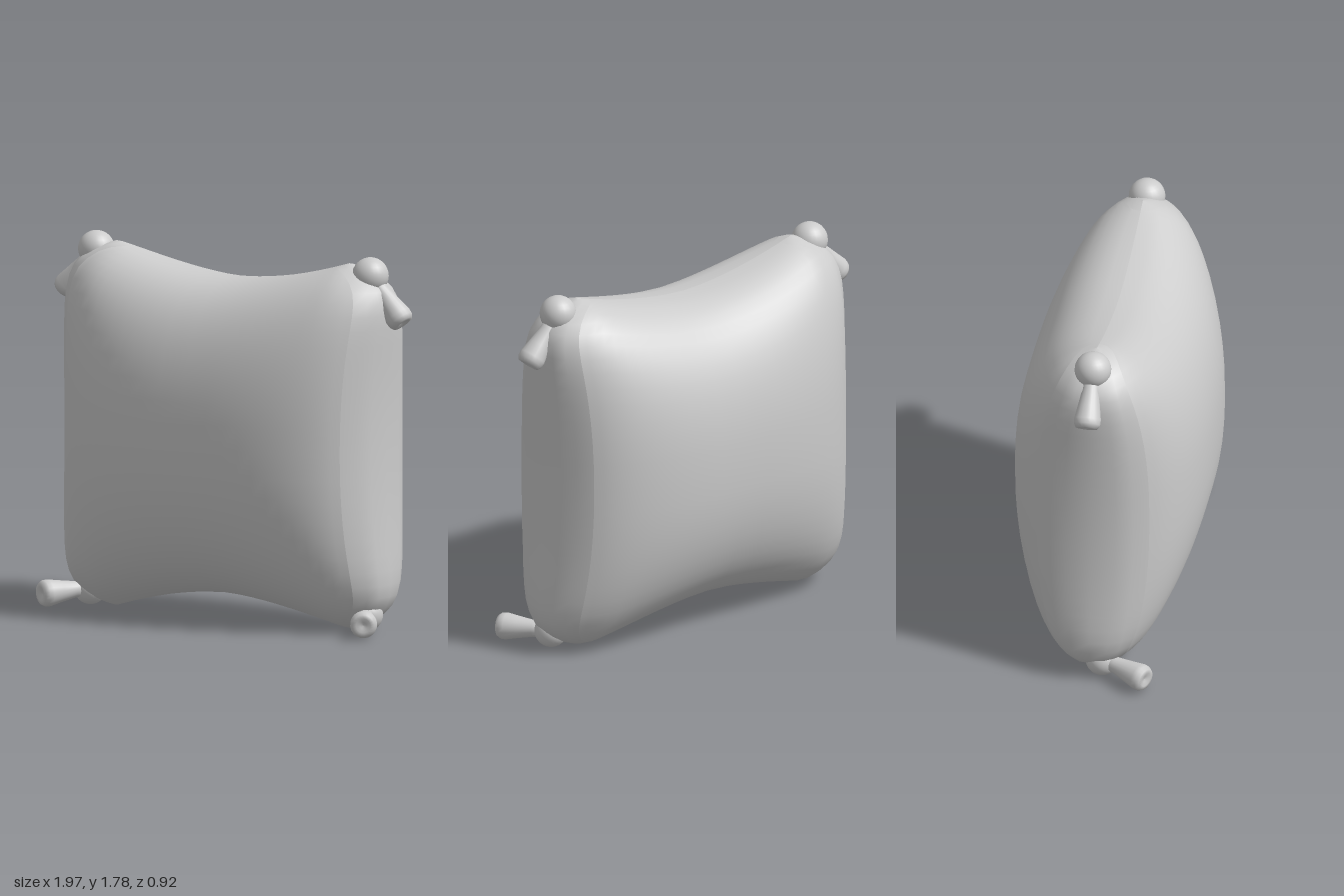
import * as THREE from 'three';

const MID = 0.875; // height of the cushion's centre
const material = new THREE.MeshStandardMaterial({ color: 0xcccccc });
const power = (v, p) => Math.sign(v) * Math.pow(Math.abs(v), p);

// Point on the stuffed cushion: a = angle around, phi = -90..90 degrees bottom to top
function cushionPoint(a, phi) {
  const t = power(Math.sin(phi), 2 / 2.3);
  const depth = 0.46 * Math.pow(Math.max(0, Math.cos(phi)), 2 / 2.3);
  const width = (0.855 + 0.06 * t * t) * (1 - 0.29 * Math.pow(Math.abs(t), 12));
  const x = width * power(Math.cos(a), 2 / 2.6);
  const z = depth * power(Math.sin(a), 2 / 2.6);
  // the top and bottom edges sag in the middle and rise to the corners
  const reach = 0.75 + 0.12 * Math.pow(Math.min(1, Math.abs(x) / 0.65), 1.7);
  return [x, MID + t * reach, z];
}

// One panel of the cushion between two angles; separate panels keep a crease
function panel(name, from, to, steps) {
  const rows = 28;
  const positions = [], index = [];
  for (let j = 0; j <= rows; j++) {
    const phi = (j / rows - 0.5) * Math.PI;
    for (let i = 0; i <= steps; i++) {
      const a = THREE.MathUtils.degToRad(from + (to - from) * i / steps);
      positions.push(...cushionPoint(a, phi));
    }
  }
  for (let j = 0; j < rows; j++) {
    for (let i = 0; i < steps; i++) {
      const p = j * (steps + 1) + i, q = p + steps + 1;
      index.push(p + 1, p, q, p + 1, q, q + 1);
    }
  }
  const geometry = new THREE.BufferGeometry();
  geometry.setAttribute('position', new THREE.Float32BufferAttribute(positions, 3));
  geometry.setIndex(index);
  geometry.computeVertexNormals();
  const mesh = new THREE.Mesh(geometry, material);
  mesh.name = name;
  return mesh;
}

// Knot ball with a flared, round-ended tassel pointing from knot to tip
function tassel(name, knot, tip, radius) {
  const group = new THREE.Group();
  group.name = name;
  const ball = new THREE.Mesh(new THREE.SphereGeometry(radius, 24, 16), material);
  ball.name = 'knot';
  ball.position.copy(knot);

  const axis = tip.clone().sub(knot);
  const length = axis.length();
  const profile = [
    [0, 0], [0.036, 0], [0.04, 0.35], [0.053, 0.65], [0.064, 0.88],
    [0.063, 0.97], [0.052, 1.04], [0.034, 1.05], [0.015, 1.02], [0, 1.01],
  ].map(([r, h]) => new THREE.Vector2(r, h * length));
  const skirt = new THREE.Mesh(new THREE.LatheGeometry(profile, 20), material);
  skirt.name = 'tasselSkirt';
  skirt.position.copy(knot);
  skirt.quaternion.setFromUnitVectors(new THREE.Vector3(0, 1, 0), axis.normalize());
  group.add(ball, skirt);
  return group;
}

export function createModel() {
  const model = new THREE.Group();
  model.name = 'pillow';

  // Cushion body
  const cushion = new THREE.Group();
  cushion.name = 'cushion';
  cushion.add(
    panel('leftPanel', -30, 30, 6),
    panel('frontPanel', 30, 150, 24),
    panel('rightPanel', 150, 210, 6),
    panel('backPanel', 210, 330, 24),
  );
  model.add(cushion);

  // Corner tassels: upper pair hangs outward, lower pair points forward
  for (const [side, s] of [['Left', 1], ['Right', -1]]) {
    model.add(
      tassel('upper' + side + 'Tassel',
        new THREE.Vector3(s * 0.765, 1.695, 0), new THREE.Vector3(s * 0.94, 1.49, 0), 0.087),
      tassel('lower' + side + 'Tassel',
        new THREE.Vector3(s * 0.77, 0.085, 0.045), new THREE.Vector3(s * 0.895, 0.073, 0.265), 0.08),
    );
  }
  return model;
}
